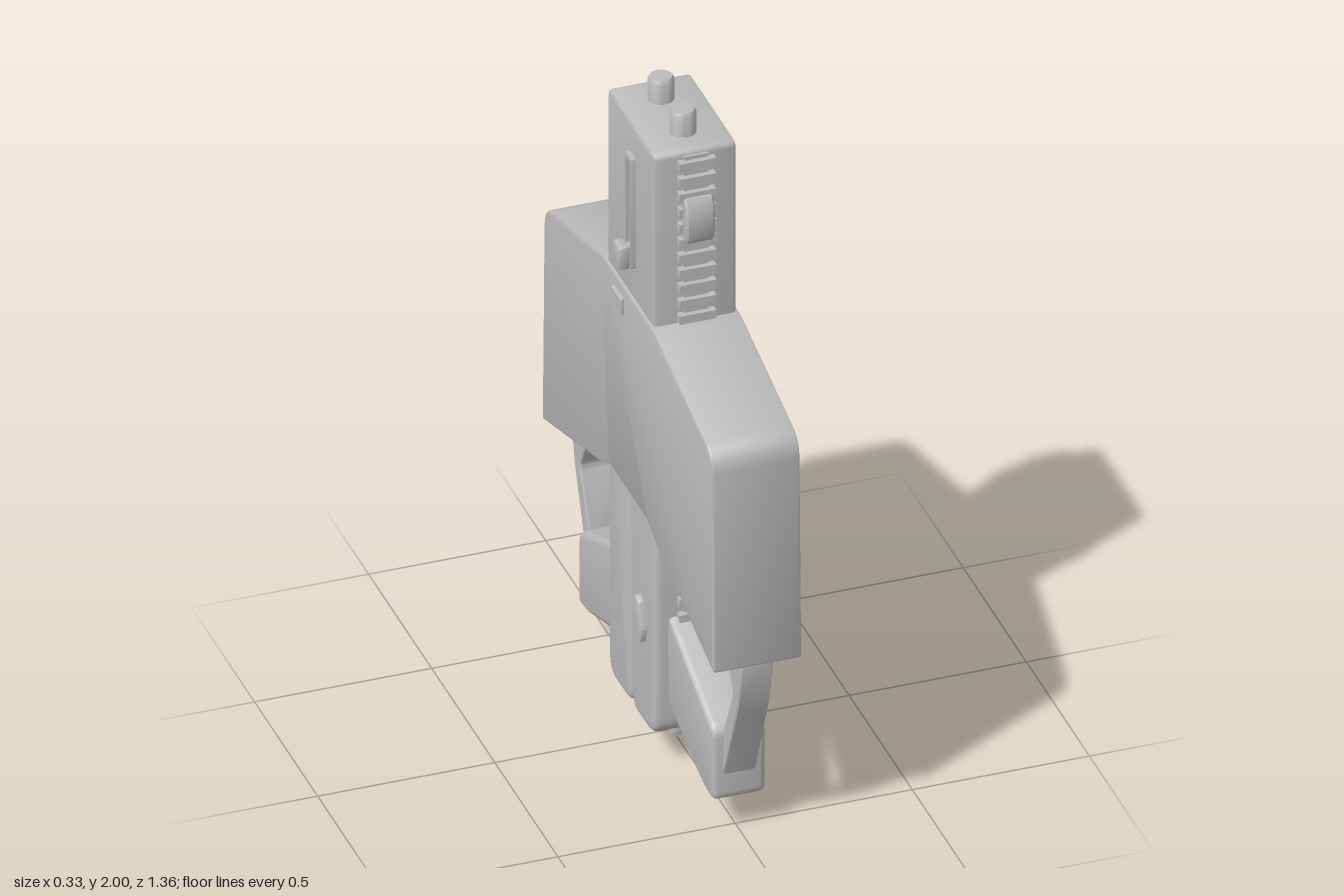
import * as THREE from 'three';
import { toCreasedNormals } from 'three/addons/utils/BufferGeometryUtils.js';

const grey = new THREE.MeshStandardMaterial({ color: 0xbcbcbc });
grey.name = 'grey';

// Closed outline from [z, y, cornerRadius] points
function outline(points) {
  const shape = new THREE.Shape();
  const n = points.length;
  points.forEach(([z, y, r = 0], i) => {
    const toward = ([az, ay]) => {
      const len = Math.hypot(az - z, ay - y);
      const t = Math.min(r, len * 0.5) / len;
      return [z + (az - z) * t, y + (ay - y) * t];
    };
    const a = toward(points[(i + n - 1) % n]);
    const b = toward(points[(i + 1) % n]);
    if (i === 0) shape.moveTo(...a); else shape.lineTo(...a);
    if (r > 0) shape.quadraticCurveTo(z, y, ...b);
  });
  shape.closePath();
  return shape;
}

// Side profile extruded across x, from x = centre - width/2 to centre + width/2
function slab(name, shape, width, bevel = 0, centre = 0, segments = 2) {
  let geo = new THREE.ExtrudeGeometry(shape, {
    depth: width - 2 * bevel, curveSegments: 6, bevelEnabled: bevel > 0,
    bevelSize: bevel, bevelThickness: bevel, bevelOffset: -bevel, bevelSegments: segments,
  });
  geo.translate(0, 0, bevel - width / 2);
  geo.rotateY(-Math.PI / 2);
  geo.translate(centre, 0, 0);
  geo = toCreasedNormals(geo, 0.6);
  const mesh = new THREE.Mesh(geo, grey);
  mesh.name = name;
  return mesh;
}

function box(name, x0, x1, y0, y1, z0, z1) {
  const mesh = new THREE.Mesh(new THREE.BoxGeometry(x1 - x0, y1 - y0, z1 - z0), grey);
  mesh.position.set((x0 + x1) / 2, (y0 + y1) / 2, (z0 + z1) / 2);
  mesh.name = name;
  return mesh;
}

const rect = (z0, z1, y0, y1, r = 0) => outline([[z0, y0, r], [z1, y0, r], [z1, y1, r], [z0, y1, r]]);

// Ribbed rail on the +z face
function rail(name, y0, y1, count) {
  const g = new THREE.Group();
  g.name = name;
  g.add(box('railBase', -0.035, 0.035, y0, y1, 0.17, 0.192));
  const pitch = (y1 - y0) / count;
  for (let i = 0; i < count; i++) {
    const y = y0 + (i + 0.5) * pitch;
    g.add(box('railRib', -0.052, 0.052, y - pitch * 0.27, y + pitch * 0.27, 0.18, 0.207));
  }
  return g;
}

// Everything that repeats when turned half a turn about y
function createHalf() {
  const g = new THREE.Group();
  g.name = 'half';

  g.add(slab('lowerBody', outline([
    [0.002, 0.1, 0.04], [0.185, 0.1, 0.06], [0.185, 0.85], [0.002, 0.85],
  ]), 0.23, 0.02, 0, 3));

  // Grip and its hand guard
  g.add(slab('grip', outline([
    [0.15, 0.49], [0.15, 0.2], [0.2, 0.19, 0.03], [0.45, 0.107, 0.05],
    [0.535, 0.1, 0.025], [0.533, 0.325, 0.03],
  ]), 0.152, 0.018, 0, 3));
  g.add(slab('guard', outline([
    [0.679, 0.61], [0.647, 0.46, 0.04], [0.533, 0.18], [0.522, 0.3],
    [0.607, 0.48, 0.015], [0.54, 0.61], [0.55, 0.65], [0.67, 0.65],
  ]), 0.09, 0.004, 0, 1));

  // Rails and sight
  g.add(rail('upperRail', 1.39, 1.915, 11));
  g.add(rail('lowerRail', 0.45, 0.745, 6));
  g.add(slab('sight', outline([
    [0.17, 1.66], [0.22, 1.66], [0.232, 1.68], [0.232, 1.77], [0.215, 1.795], [0.17, 1.795],
  ]), 0.082, 0.006, 0, 1));

  // Rod on the top end
  const rod = new THREE.Mesh(toCreasedNormals(new THREE.LatheGeometry([
    [0.036, 1.9], [0.036, 1.99], [0.03, 2], [0, 2],
  ].map((p) => new THREE.Vector2(...p)), 24), 0.6), grey);
  rod.name = 'topRod';
  rod.position.z = 0.087;
  g.add(rod);

  // Slide track with a recessed channel and a knob
  const track = rect(-0.043, 0.007, 1.495, 1.84, 0.006);
  track.holes.push(rect(-0.033, -0.003, 1.507, 1.828));
  g.add(slab('slideTrack', track, 0.024, 0, 0.12));
  g.add(box('trackFloor', 0.1, 0.121, 1.5, 1.835, -0.038, 0.002));
  g.add(box('knobStem', 0.11, 0.145, 1.512, 1.558, -0.034, -0.002));
  g.add(slab('knob', rect(-0.045, 0.009, 1.498, 1.568, 0.006), 0.032, 0.007, 0.15));

  // Button and release lever
  g.add(slab('button', rect(0.03, 0.107, 1.31, 1.36, 0.004), 0.03, 0.003, 0.12, 1));
  g.add(slab('lever', outline([
    [-0.07, 0.493, 0.006], [-0.097, 0.485, 0.006], [-0.126, 0.41, 0.006],
    [-0.115, 0.365, 0.006], [-0.092, 0.373, 0.006], [-0.056, 0.45, 0.006],
  ]), 0.04, 0.006, 0.112));
  return g;
}

export function createModel() {
  const model = new THREE.Group();
  model.name = 'twinDevice';

  const halfA = createHalf();
  const halfB = createHalf();
  halfB.rotation.y = Math.PI;
  model.add(halfA, halfB);

  model.add(slab('upperBody', rect(-0.185, 0.185, 1.2, 1.93, 0.02), 0.234, 0.012));

  // Wide housing, mirrored front to back
  const side = [
    [0.16, 0.77, 0.05], [0.21, 0.738, 0.04], [0.68, 0.598, 0.012],
    [0.665, 1.275, 0.06], [0.21, 1.392, 0.02], [0.175, 1.395, 0.01],
  ];
  const mirrored = side.map(([z, y, r]) => [-z, y, r]).reverse();
  model.add(slab('housing', outline([...side, ...mirrored]), 0.25, 0.008));

  // Ribbed tail under the body
  model.add(box('tailCore', -0.01, 0.01, 0, 0.15, -0.04, 0.04));
  for (const y of [0.03, 0.085]) {
    model.add(slab('tailRib', rect(-0.056, 0.056, y - 0.013, y + 0.013, 0.004), 0.038, 0.004));
  }
  return model;
}
